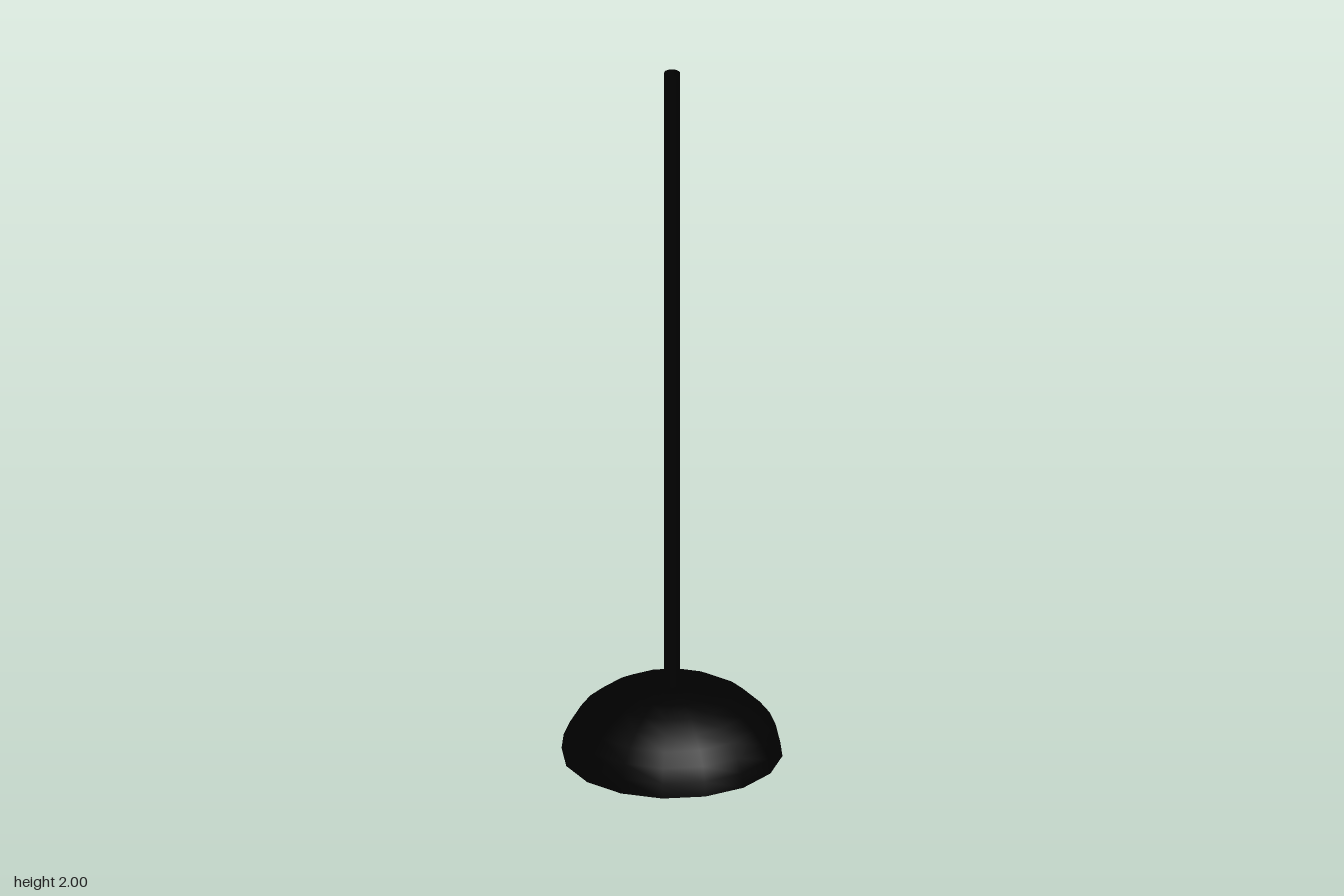
import * as THREE from 'three';

const R = 0.296, DOME_H = 0.2, POLE_R = 0.021, TOP = 2, ROWS = 8;

// Half-ellipse profile, from the rim up to a small flat crown
function domeProfile() {
  const points = [];
  for (let i = 0; i < ROWS; i++) {
    const t = (i / ROWS) * Math.PI / 2;
    const crown = Math.sin(((ROWS - 1) / ROWS) * Math.PI / 2);
    points.push(new THREE.Vector2(R * Math.cos(t), DOME_H * Math.sin(t) / crown));
  }
  points.push(new THREE.Vector2(0, DOME_H));
  return points;
}

export function createModel() {
  const group = new THREE.Group();
  const black = new THREE.MeshStandardMaterial({ color: 0x000000, side: THREE.DoubleSide });
  const grey = new THREE.MeshStandardMaterial({ color: 0xcccccc, side: THREE.DoubleSide });

  const add = (name, geometry, material, y = 0) => {
    const mesh = new THREE.Mesh(geometry, material);
    mesh.name = name;
    mesh.position.y = y;
    group.add(mesh);
    return mesh;
  };

  // Hollow flattened dome: black shell with a grey lining just inside it
  const dome = new THREE.LatheGeometry(domeProfile(), 16);
  add('domeShell', dome, black);
  add('domeLining', dome, grey).scale.setScalar(0.995);

  // Slim open tube standing on the crown
  const length = TOP - DOME_H;
  add('pole', new THREE.CylinderGeometry(POLE_R, POLE_R, length, 32, 1, true), black, DOME_H + length / 2);

  // Grey disc closing the foot of the tube
  const foot = new THREE.CircleGeometry(POLE_R, 32);
  foot.rotateX(-Math.PI / 2);
  add('poleFoot', foot, grey, DOME_H + 0.002);

  return group;
}
